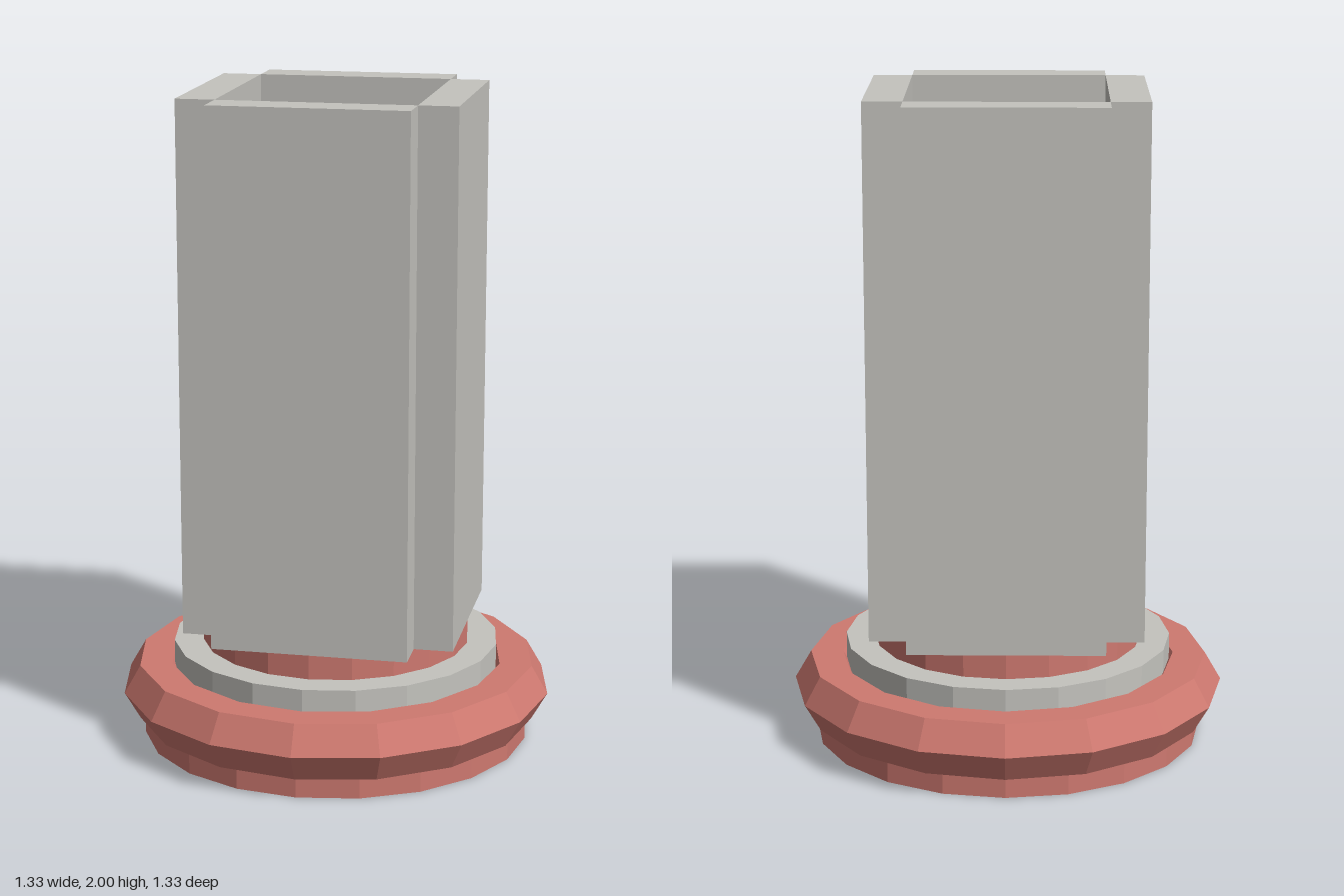
import * as THREE from 'three';

export function createModel() {
  const model = new THREE.Group();
  model.name = 'squareColumn';

  const stone = new THREE.MeshStandardMaterial({ color: 0xc4c3be, flatShading: true });
  stone.name = 'pale stone';
  const clay = new THREE.MeshStandardMaterial({ color: 0xce7970, flatShading: true });
  clay.name = 'red clay';

  const add = (name, geometry, material, x, y, z) => {
    const mesh = new THREE.Mesh(geometry, material);
    mesh.name = name;
    mesh.position.set(x, y, z);
    model.add(mesh);
    return mesh;
  };

  // Stacked round discs: [name, radius, bottom, top, material]
  const discs = [
    ['baseDisc', 0.597, 0, 0.2, clay],
    ['collarDisc', 0.503, 0.2, 0.3, stone],
    ['neckDisc', 0.413, 0.3, 0.375, clay],
  ];
  for (const [name, radius, bottom, top, material] of discs) {
    add(name, new THREE.CylinderGeometry(radius, radius, top - bottom, 20), material, 0, (bottom + top) / 2, 0);
  }

  // Faceted ring around the base
  const ring = new THREE.TorusGeometry(0.565, 0.1, 6, 16).rotateX(Math.PI / 2);
  add('baseRing', ring, clay, 0, 0.151, 0);

  // Four upright slabs around an open square shaft, with notched corners
  const inner = 0.296, thickness = 0.118, height = 1.625;
  const slab = new THREE.BoxGeometry(inner * 2, height, thickness);
  ['frontWall', 'leftWall', 'backWall', 'rightWall'].forEach((name, i) => {
    const angle = i * Math.PI / 2;
    const offset = inner + thickness / 2;
    const wall = add(name, slab, stone, Math.sin(angle) * offset, 0.375 + height / 2, Math.cos(angle) * offset);
    wall.rotation.y = angle;
  });

  return model;
}
